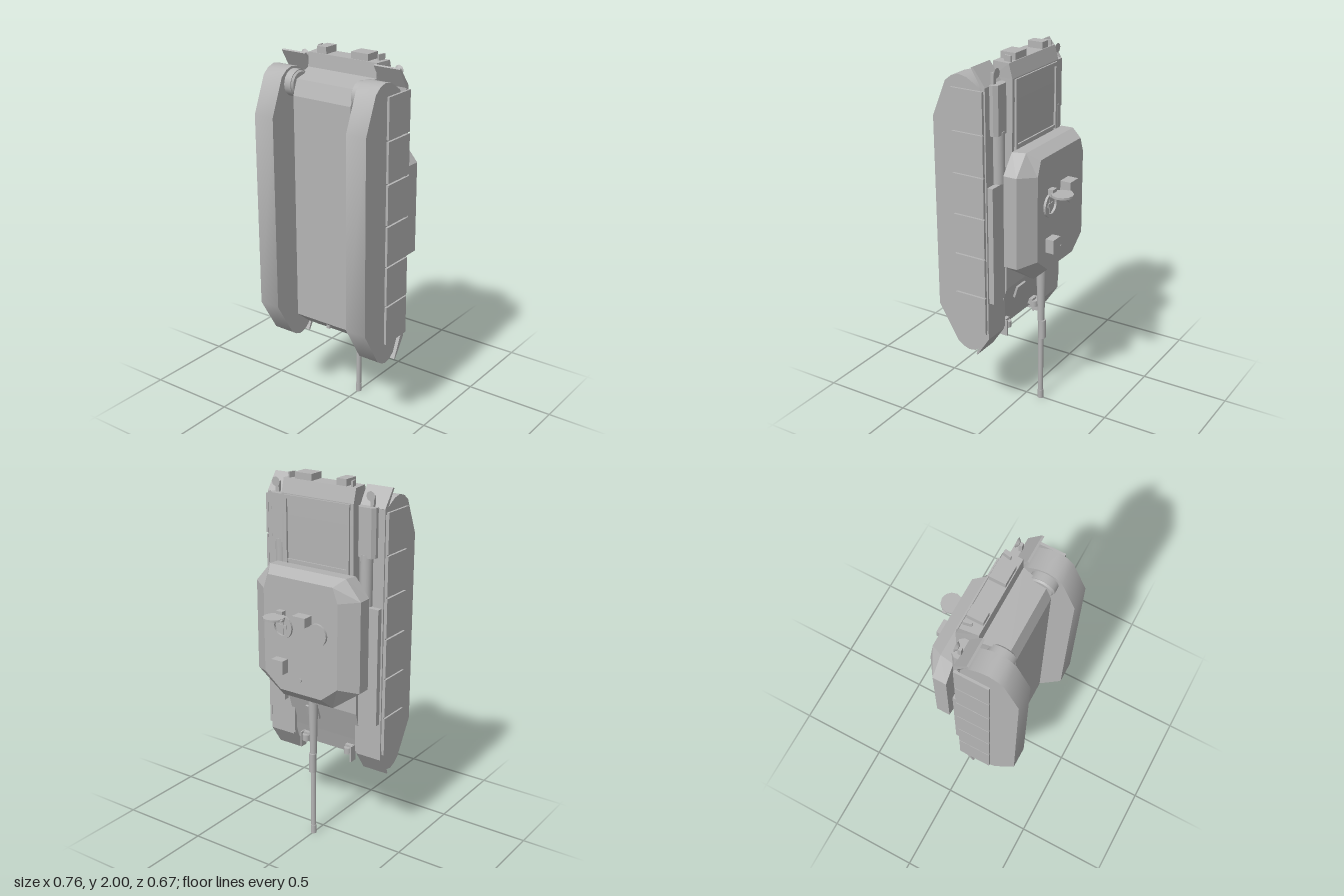
import * as THREE from 'three';
import { toCreasedNormals } from 'three/addons/utils/BufferGeometryUtils.js';

// Tank standing on its muzzle: nose points to -y, roof to -z, belly to +z.
export function createModel() {
  const model = new THREE.Group();
  const steel = new THREE.MeshStandardMaterial({ color: 0xb4b4b4 });
  steel.name = 'steel grey';

  const add = (name, geo) => {
    const m = new THREE.Mesh(geo, steel);
    m.name = name;
    model.add(m);
    return m;
  };
  // Box from its limits
  const box = (name, x0, x1, y0, y1, z0, z1) => {
    const m = add(name, new THREE.BoxGeometry(Math.abs(x1 - x0), y1 - y0, Math.abs(z1 - z0)));
    m.position.set((x0 + x1) / 2, (y0 + y1) / 2, (z0 + z1) / 2);
    return m;
  };
  // Cylinder along an axis; rTop lies toward the positive end
  const cyl = (name, axis, rTop, rBottom, h, x, y, z, n = 24) => {
    const g = new THREE.CylinderGeometry(rTop, rBottom, h, n);
    if (axis === 'x') g.rotateZ(-Math.PI / 2);
    if (axis === 'z') g.rotateX(Math.PI / 2);
    const m = add(name, g);
    m.position.set(x, y, z);
    return m;
  };
  // Side profile of [z, y] points, given width in x
  const profile = (name, pts, x, width, crease = 0.3) => {
    const s = new THREE.Shape(pts.map(([z, y]) => new THREE.Vector2(-z, y)));
    let g = new THREE.ExtrudeGeometry(s, { depth: width, bevelEnabled: false });
    g.translate(0, 0, -width / 2);
    g.rotateY(Math.PI / 2);
    g = toCreasedNormals(g, crease);
    const m = add(name, g);
    m.position.x = x;
    return m;
  };
  // Mirrored half sections [height, [[x, z], ...]] joined along y, z running high to low
  const loft = (sections) => {
    const rings = sections.map(([h, half]) => [
      ...half.map(([x, z]) => [x, h, z]),
      ...half.slice().reverse().map(([x, z]) => [-x, h, z]),
    ]);
    const pos = [];
    const tri = (a, b, c) => pos.push(...a, ...b, ...c);
    const n = rings[0].length;
    for (let k = 0; k < rings.length - 1; k++) {
      for (let i = 0; i < n; i++) {
        const j = (i + 1) % n, a = rings[k], b = rings[k + 1];
        tri(a[i], a[j], b[j]);
        tri(a[i], b[j], b[i]);
      }
    }
    const first = rings[0], last = rings[rings.length - 1];
    for (let i = 1; i < n - 1; i++) {
      tri(first[0], first[i + 1], first[i]);
      tri(last[0], last[i], last[i + 1]);
    }
    const g = new THREE.BufferGeometry();
    g.setAttribute('position', new THREE.Float32BufferAttribute(pos, 3));
    g.computeVertexNormals();
    return g;
  };

  // Hull: y, belly z and half width, shoulder z, deck z
  const hull = [
    [0.47, 0.105, 0.2, 0.09, 0.075],
    [0.57, 0.23, 0.175, 0.08, 0.045],
    [0.75, 0.23, 0.175, 0.06, -0.012],
    [1.32, 0.23, 0.175, 0.06, -0.015],
    [1.5, 0.23, 0.175, 0.06, -0.05],
    [1.78, 0.23, 0.175, 0.06, -0.055],
    [1.86, 0.2, 0.18, 0.06, -0.055],
    [1.89, 0.065, 0.21, 0.06, -0.055],
    [1.965, 0.06, 0.21, 0.05, -0.035],
  ];
  add('hull', loft(hull.map(([y, zb, wb, zs, zt]) => [y, [[wb, zb], [0.21, zs], [0.22, zt]]])));

  // Engine deck rails and cross bars
  for (const s of [-1, 1]) box('deckRail', s * 0.185, s * 0.2, 1.5, 1.88, -0.064, -0.045);
  box('deckRearBar', -0.2, 0.2, 1.865, 1.885, -0.064, -0.045);
  box('deckFrontBar', -0.185, 0.185, 1.535, 1.55, -0.06, -0.045);

  // Rear plate stowage and nose fittings
  box('rearBoxSmall', -0.16, -0.102, 1.955, 2, -0.03, 0.055);
  box('rearBoxLarge', 0.05, 0.152, 1.955, 2, -0.03, 0.055);
  box('noseTowEye', -0.01, 0.01, 0.52, 0.55, 0.15, 0.195);
  const hatch = box('driverHatch', 0.03, 0.11, 0.65, 0.72, -0.004, 0.012);
  hatch.rotation.x = -0.3;

  // Running gear and fenders, both sides
  const trackPts = [
    [0.335, 1.68], [0.335, 0.635], [0.22, 0.44], [0.185, 0.415], [0.15, 0.403], [0.11, 0.41],
    [0.06, 0.45], [0.03, 0.52], [0.03, 1.8], [0.055, 1.855], [0.09, 1.88], [0.13, 1.903],
    [0.177, 1.913], [0.22, 1.9], [0.257, 1.87],
  ];
  for (const s of [-1, 1]) {
    profile('track', trackPts, s * 0.283, 0.116, 0.55);
    cyl('finalDrive', 'x', 0.07, 0.07, 0.06, s * 0.215, 1.83, 0.17);
    cyl('finalDriveCap', 'x', s > 0 ? 0.07 : 0.058, s > 0 ? 0.058 : 0.07, 0.014, s * 0.183, 1.83, 0.17);

    // Fender with sloping front and rear flaps
    box('fender', s * 0.2, s * 0.36, 0.52, 1.87, 0.012, 0.03);
    profile('frontFlap', [[0.012, 0.54], [0.012, 0.51], [0.085, 0.4], [0.092, 0.405], [0.03, 0.54]], s * 0.285, 0.15);
    profile('rearFlap', [[0.03, 1.86], [0.09, 1.96], [0.08, 1.965], [0.01, 1.87]], s * 0.285, 0.15);
    box('skirtRail', s * 0.355, s * 0.37, 0.56, 1.84, 0.02, 0.035);
    for (let i = 0; i < 6; i++) {
      const y = 0.543 + i * 0.22;
      box('skirtPanel', s * 0.366, s * 0.379, y, y + 0.211, 0.018, 0.2);
    }

    // Stowage along the fender
    box('longBin', s * 0.245, s * 0.35, 0.72, 1.36, -0.018, 0.02);
    cyl('exhaustPipe', 'y', 0.033, 0.033, 0.27, s * 0.265, 1.5, 0, 16);
    add('rearBin', loft([1.62, 1.875].map((y) => [y, [[0.052, 0.03], [0.052, -0.008], [0.036, -0.028]]])))
      .position.x = s * 0.27;

    // Rear lamp on a bracket, tow hook, front lamp
    box('rearLampPost', s * 0.28, s * 0.3, 1.87, 1.93, 0, 0.018);
    cyl('rearLamp', 'z', 0.026, 0.012, 0.014, s * 0.29, 1.93, -0.005, 8).rotation.x = Math.PI;
    box('towHook', s * 0.182, s * 0.192, 1.955, 1.995, -0.03, 0.012).rotation.y = s * -0.2;
    cyl('headlamp', 'y', 0.022, 0.022, 0.035, s * 0.14, 0.5, 0.035, 12);
    box('headlampBase', s * 0.12, s * 0.16, 0.495, 0.53, 0.035, 0.08);
    box('headlampGuard', s * 0.162, s * 0.17, 0.44, 0.53, 0.02, 0.065);
  }

  // Turret ring and faceted turret, layered from deck to roof
  cyl('turretRing', 'z', 0.207, 0.207, 0.06, 0, 1.1, -0.04, 32);
  const turret = loft([
    [0.065, [[0.245, 1.53], [0.325, 1.43], [0.325, 0.94], [0.15, 0.885]]],
    [0.14, [[0.235, 1.535], [0.325, 1.43], [0.325, 0.94], [0.16, 0.82]]],
    [0.205, [[0.2, 1.5], [0.23, 1.42], [0.23, 0.96], [0.13, 0.88]]],
  ]);
  turret.rotateX(-Math.PI / 2);
  add('turret', turret);

  // Mantlet and gun
  add('mantlet', loft([
    [0.8, [[0.055, -0.065], [0.055, -0.115]]],
    [0.87, [[0.1, -0.035], [0.1, -0.137]]],
    [0.92, [[0.1, -0.06], [0.1, -0.137]]],
  ]));
  const gunZ = -0.092;
  cyl('gunSleeve', 'y', 0.027, 0.018, 0.32, 0, 0.65, gunZ);
  cyl('gunBarrel', 'y', 0.015, 0.014, 0.5, 0, 0.25, gunZ);
  cyl('boreEvacuator', 'y', 0.02, 0.02, 0.11, 0, 0.44, gunZ - 0.008);
  cyl('muzzle', 'y', 0.0165, 0.0165, 0.05, 0, 0.025, gunZ);

  // Commander's open hatch: ring, inner bars and raised lid
  const ring = new THREE.Shape().absarc(0, 0, 0.065, 0, Math.PI * 2);
  ring.holes.push(new THREE.Path().absarc(0, 0, 0.046, 0, Math.PI * 2, true));
  const ringGeo = new THREE.ExtrudeGeometry(ring, { depth: 0.018, bevelEnabled: false, curveSegments: 12 });
  add('cupolaRing', ringGeo).position.set(0.11, 1.235, -0.218);
  box('cupolaSeat', 0.085, 0.135, 1.225, 1.245, -0.211, -0.2);
  box('cupolaBar', 0.105, 0.115, 1.19, 1.28, -0.209, -0.2);
  cyl('cupolaLid', 'y', 0.058, 0.058, 0.012, 0.11, 1.302, -0.278, 12);
  box('lidHandle', 0.044, 0.056, 1.296, 1.306, -0.3, -0.277);
  box('lidHinge', 0.09, 0.13, 1.285, 1.325, -0.235, -0.2);

  // Other roof fittings
  cyl('loaderHatch', 'z', 0.06, 0.06, 0.016, -0.11, 1.235, -0.21, 20);
  box('roofVent', -0.074, 0.006, 1.28, 1.33, -0.265, -0.2);
  box('gunnerSight', 0.08, 0.152, 0.985, 1.06, -0.252, -0.2);
  cyl('roofStud', 'z', 0.01, 0.01, 0.012, 0, 0.96, -0.207, 10);

  return model;
}
